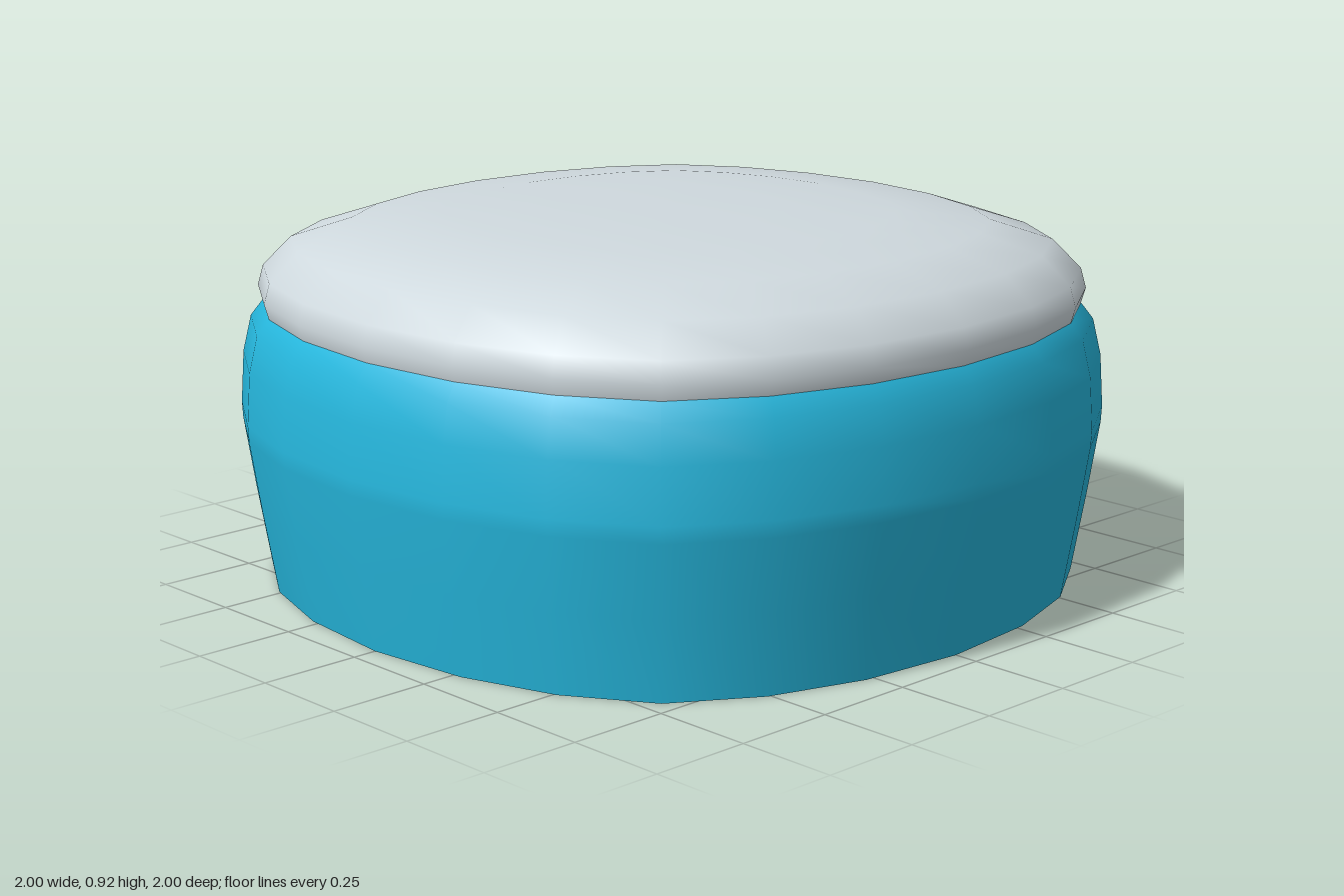
import * as THREE from 'three';
import { mergeVertices } from 'three/addons/utils/BufferGeometryUtils.js';

// One eighth of the rounded-square outline, mirrored to 24 corners
const EIGHTH = [[0, 1], [0.288, 0.97], [0.54, 0.888], [0.752, 0.752]];
const SIDES = 24;

function outlinePoint(i) {
  const quarter = Math.floor(i / 6) % 4;
  const k = i % 6;
  let [x, z] = k <= 3 ? EIGHTH[k] : [EIGHTH[6 - k][1], EIGHTH[6 - k][0]];
  for (let q = 0; q < quarter; q++) [x, z] = [z, -x];
  return [x, z];
}

// Lathe a profile of [radius, height], then square off each ring; smooth all round
function roundedSquareShell(profile) {
  const geo = new THREE.LatheGeometry(profile.map(([r, y]) => new THREE.Vector2(r, y)), SIDES);
  const pos = geo.attributes.position;
  const n = profile.length;
  for (let v = 0; v < pos.count; v++) {
    const [x, z] = outlinePoint(Math.floor(v / n) % SIDES);
    const [r, y] = profile[v % n];
    pos.setXYZ(v, x * r, y, z * r);
  }
  geo.deleteAttribute('uv');
  geo.deleteAttribute('normal');
  const merged = mergeVertices(geo, 1e-4);
  merged.computeVertexNormals();
  return merged;
}

export function createModel() {
  const blue = new THREE.MeshStandardMaterial({ name: 'blue', color: 0x26b7dd, side: THREE.DoubleSide });
  const grey = new THREE.MeshStandardMaterial({ name: 'lightGrey', color: 0xcfd9de, side: THREE.DoubleSide });
  const group = new THREE.Group();
  group.name = 'pouf';

  // Side wall, open at the bottom
  const band = new THREE.Mesh(roundedSquareShell([
    [0.94, 0], [0.972, 0.2], [0.998, 0.38], [1, 0.42], [0.992, 0.55], [0.972, 0.64], [0.943, 0.68],
  ]), blue);
  band.name = 'sideBand';

  // Hollow domed top
  const top = new THREE.Mesh(roundedSquareShell([
    [0.943, 0.68], [0.953, 0.717], [0.94, 0.767], [0.873, 0.838], [0.73, 0.886],
    [0.52, 0.908], [0.27, 0.916], [0, 0.918],
  ]), grey);
  top.name = 'cushionTop';

  group.add(band, top);
  return group;
}
